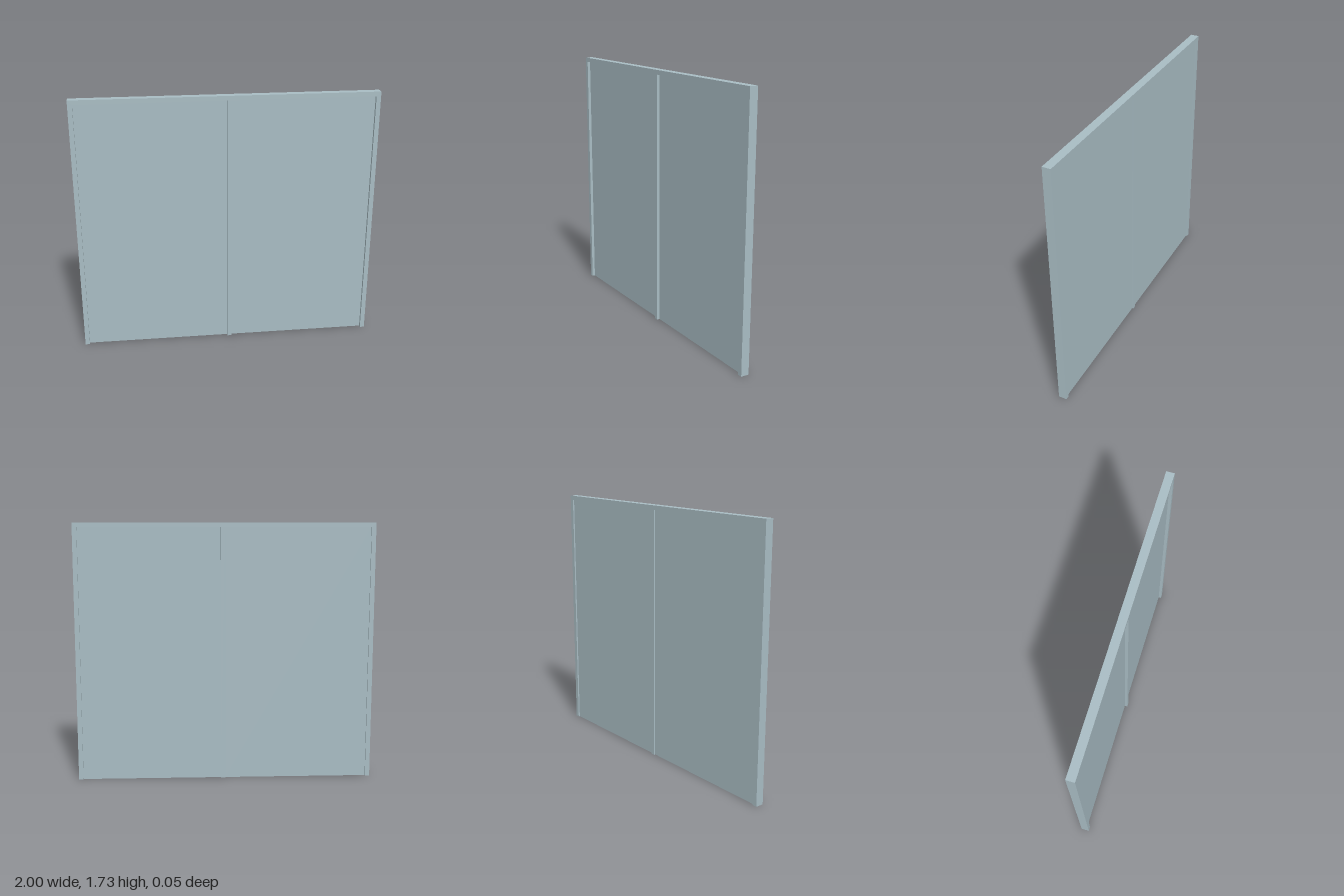
import * as THREE from 'three';

export function createModel() {
  const model = new THREE.Group();
  model.name = 'doublePanelFrame';
  const paint = new THREE.MeshStandardMaterial({ color: 0xa9bdc4 });
  paint.name = 'paleBlueGrey';

  const H = 1.733, BAR = 0.03, DEPTH = 0.055;
  const PANEL_BACK = -0.0175, PANEL_FRONT = 0.0075;

  // One outline for the whole frame: outer edge, then around both openings
  const outline = [
    [-1, 0], [-1 + BAR, 0], [-1 + BAR, H - BAR], [0, H - BAR], [0, 0],
    [BAR, 0], [BAR, H - BAR], [1 - BAR, H - BAR], [1 - BAR, 0],
    [1, 0], [1, H], [-1, H],
  ];
  const shape = new THREE.Shape(outline.map(([x, y]) => new THREE.Vector2(x, y)));
  const frameGeometry = new THREE.ExtrudeGeometry(shape, { depth: DEPTH, bevelEnabled: false });
  frameGeometry.translate(0, 0, -DEPTH / 2);
  const frame = new THREE.Mesh(frameGeometry, paint);
  frame.name = 'frame';
  model.add(frame);

  // Panels set back between the posts, deeper on the front
  const addPanel = (name, x0, x1) => {
    const h = H - BAR;
    const panel = new THREE.Mesh(
      new THREE.BoxGeometry(x1 - x0, h, PANEL_FRONT - PANEL_BACK), paint);
    panel.position.set((x0 + x1) / 2, h / 2, (PANEL_FRONT + PANEL_BACK) / 2);
    panel.name = name;
    model.add(panel);
  };
  addPanel('rightPanel', -1 + BAR, 0);
  addPanel('leftPanel', BAR, 1 - BAR);

  return model;
}
